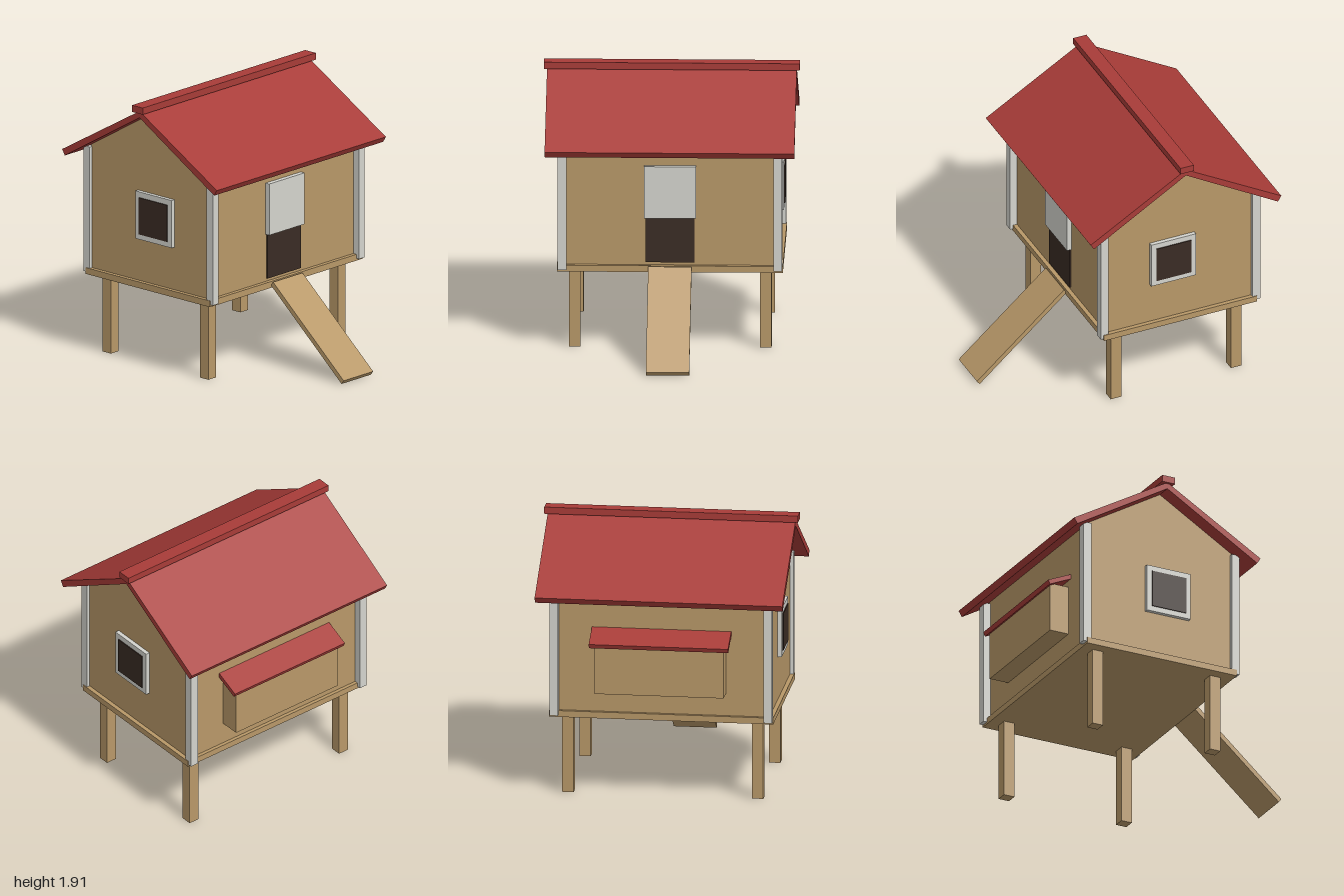
import * as THREE from 'three';

const mat = (color) => new THREE.MeshStandardMaterial({ color, flatShading: true });

export function createModel() {
  const group = new THREE.Group();
  group.name = 'henHouse';
  const wood = mat(0xb89868), red = mat(0xa83c38), white = mat(0xd4d4ce), dark = mat(0x3a2c24);
  const MID = -0.26; // z of the ridge and house centre

  // box given by its min/max extents
  function box(name, material, [x0, x1], [y0, y1], [z0, z1]) {
    const mesh = new THREE.Mesh(new THREE.BoxGeometry(x1 - x0, y1 - y0, z1 - z0), material);
    mesh.position.set((x0 + x1) / 2, (y0 + y1) / 2, (z0 + z1) / 2);
    mesh.name = name;
    group.add(mesh);
    return mesh;
  }

  // (z, y) profile extruded along x, centred on x = 0
  function prism(name, material, points, width) {
    const shape = new THREE.Shape(points.map(([z, y]) => new THREE.Vector2(z, y)));
    const geo = new THREE.ExtrudeGeometry(shape, { depth: width, bevelEnabled: false });
    geo.translate(0, 0, -width / 2).rotateY(-Math.PI / 2);
    const mesh = new THREE.Mesh(geo, material);
    mesh.name = name;
    group.add(mesh);
    return mesh;
  }

  // floor platform and gabled house body
  box('platform', wood, [-0.78, 0.78], [0.56, 0.605], [MID - 0.58, MID + 0.585]);
  prism('walls', wood, [
    [MID - 0.555, 0.6], [MID + 0.555, 0.6], [MID + 0.555, 1.5], [MID, 1.83], [MID - 0.555, 1.5],
  ], 1.5);

  // legs and corner trims
  for (const sx of [-1, 1]) {
    for (const sz of [-1, 1]) {
      const lx = sx * 0.66, lz = MID + sz * 0.457;
      box('leg', wood, [lx - 0.04, lx + 0.04], [0, 0.57], [lz - 0.04, lz + 0.04]);
      const tx = sx * 0.745, tz = MID + sz * 0.577;
      box('cornerTrim', white, [tx - 0.03, tx + 0.03], [0.575, 1.48], [tz - 0.03, tz + 0.03]);
    }
  }

  // roof slabs and ridge cap
  for (const s of [-1, 1]) {
    prism('roofSlab', red, [
      [MID, 1.825], [MID + s * 0.7, 1.408], [MID + s * 0.725, 1.449], [MID, 1.872],
    ], 1.724);
  }
  box('ridgeCap', red, [-0.883, 0.883], [1.862, 1.91], [MID - 0.05, MID + 0.05]);

  // doorway, raised sliding door and ramp
  box('doorway', dark, [-0.17, 0.17], [0.625, 1.29], [0.25, 0.305]);
  box('slidingDoor', white, [-0.18, 0.18], [0.945, 1.315], [0.29, 0.33]);
  prism('ramp', wood, [[1, 0.027], [0.98, 0], [0.317, 0.575], [0.338, 0.602]], 0.3);

  // side windows: frame bars around a dark pane
  for (const s of [-1, 1]) {
    const side = (a, b) => (s > 0 ? [a, b] : [-b, -a]);
    const fx = side(0.74, 0.779);
    box('windowFrameTop', white, fx, [1.215, 1.255], [-0.375, -0.035]);
    box('windowFrameBottom', white, fx, [0.912, 0.95], [-0.375, -0.035]);
    box('windowFrameFront', white, fx, [0.95, 1.215], [-0.073, -0.035]);
    box('windowFrameBack', white, fx, [0.95, 1.215], [-0.375, -0.337]);
    box('windowPane', dark, side(0.74, 0.786), [0.95, 1.215], [-0.337, -0.073]);
  }

  // nest box on the back with its sloping lid
  box('nestBox', wood, [-0.45, 0.45], [0.768, 1.125], [-0.958, -0.78]);
  prism('nestBoxLid', red, [
    [-0.99, 1.13], [-0.977, 1.1], [-0.785, 1.187], [-0.785, 1.222],
  ], 0.97);

  return group;
}
